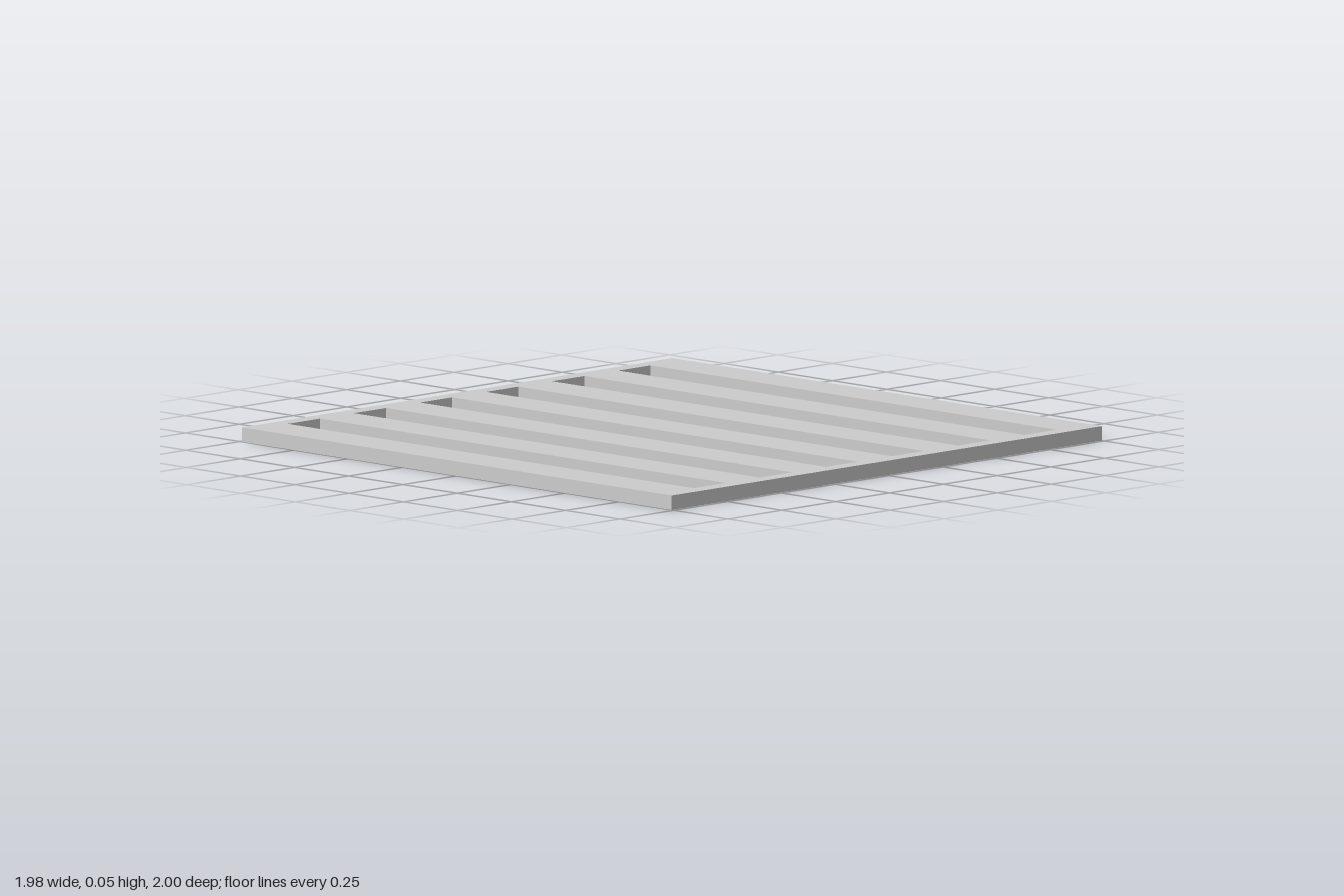
import * as THREE from 'three';

const WIDTH = 1.98, DEPTH = 2, THICKNESS = 0.048;
const SLOTS = 6, SLOT_LENGTH = 1.87, SLOT_WIDTH = 0.15;

// Traces a centred rectangle onto a shape or path
function rect(path, w, h, cy = 0) {
  path.moveTo(-w / 2, cy - h / 2);
  path.lineTo(w / 2, cy - h / 2);
  path.lineTo(w / 2, cy + h / 2);
  path.lineTo(-w / 2, cy + h / 2);
  path.closePath();
  return path;
}

export function createModel() {
  const group = new THREE.Group();
  group.name = 'slattedPanel';

  // Flat panel outline with evenly spaced slots
  const outline = rect(new THREE.Shape(), WIDTH, DEPTH);
  const slat = (DEPTH - SLOTS * SLOT_WIDTH) / (SLOTS + 1);
  const pitch = slat + SLOT_WIDTH;
  for (let i = 0; i < SLOTS; i++) {
    const z = (i - (SLOTS - 1) / 2) * pitch;
    outline.holes.push(rect(new THREE.Path(), SLOT_LENGTH, SLOT_WIDTH, z));
  }

  // Extruded upward from the ground
  const geometry = new THREE.ExtrudeGeometry(outline, { depth: THICKNESS, bevelEnabled: false });
  geometry.rotateX(-Math.PI / 2);
  const panel = new THREE.Mesh(geometry, new THREE.MeshStandardMaterial({ color: 0xcccccc }));
  panel.name = 'panel';
  group.add(panel);
  return group;
}
